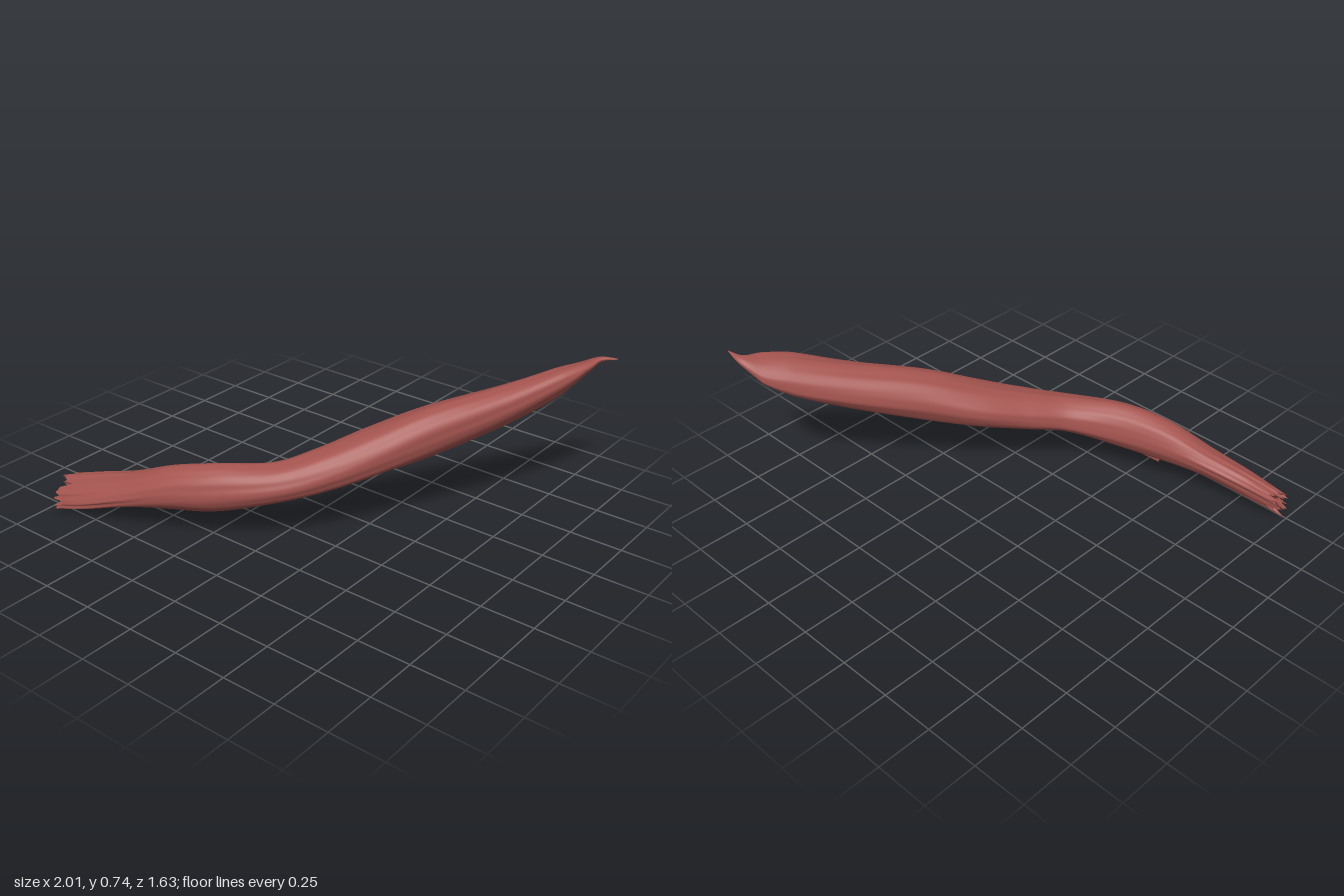
import * as THREE from 'three';

// Stations along the root: x, y, z of the centre, half width, half height, sideways tilt
const STATIONS = [
  [-0.95, 0.085, 0.740, 0.072, 0.058, -0.50],
  [-0.80, 0.125, 0.710, 0.082, 0.065, -0.38],
  [-0.60, 0.180, 0.660, 0.086, 0.070, -0.20],
  [-0.40, 0.233, 0.597, 0.092, 0.098, -0.05],
  [-0.20, 0.265, 0.515, 0.095, 0.108, 0],
  [0.015, 0.302, 0.368, 0.100, 0.086, 0],
  [0.145, 0.343, 0.210, 0.113, 0.092, 0],
  [0.275, 0.400, 0.030, 0.122, 0.104, 0.02],
  [0.43, 0.468, -0.165, 0.112, 0.116, 0.08],
  [0.65, 0.560, -0.450, 0.100, 0.095, 0.22],
  [0.79, 0.635, -0.635, 0.088, 0.074, 0.40],
  [0.86, 0.684, -0.735, 0.066, 0.040, 0.45],
  [0.92, 0.728, -0.797, 0.023, 0.014, 0.25],
  [0.995, 0.746, -0.810, 0.002, 0.002, 0],
];
const SIDES = 72;
const ROWS = 150;
const UP = new THREE.Vector3(0, 1, 0);

const path = new THREE.CatmullRomCurve3(STATIONS.map(s => new THREE.Vector3(s[0], s[1], s[2])));
const sections = new THREE.CatmullRomCurve3(STATIONS.map(s => new THREE.Vector3(s[3], s[4], s[5])), false, 'catmullrom', 0.5);

// Lengthwise grooves: shallow on the body, deep and fibrous towards the broken end
function groove(t, a) {
  const frayed = Math.max(0, 1 - t / 0.2);
  const broad = 0.022 * Math.sin(3 * a + 9 * t) + 0.014 * Math.sin(7 * a - 14 * t + 1);
  const fine = Math.sin(11 * a + 5 * t) + 0.7 * Math.sin(17 * a - 8 * t + 2);
  return 1 + broad + (0.006 + 0.045 * frayed) * fine;
}

// Uneven length of the fibres at the broken end
function jag(a) {
  return 0.022 * Math.sin(5 * a + 1) + 0.018 * Math.sin(11 * a) + 0.012 * Math.sin(19 * a + 2);
}

function surfacePoint(t, a, scale = 1, recess = 0) {
  const tangent = path.getTangent(t);
  const side = new THREE.Vector3().crossVectors(tangent, UP).normalize();
  const section = sections.getPoint(t);
  const r = groove(t, a) * scale;
  const across = Math.cos(a) * section.x * r;
  const rise = Math.sin(a) * section.y * r + across * section.z;
  const pull = Math.pow(Math.max(0, 1 - t / 0.07), 2) * jag(a) * scale + recess;
  return path.getPoint(t)
    .addScaledVector(side, across)
    .addScaledVector(UP, rise)
    .addScaledVector(tangent, pull);
}

// Joins closed rings of points into a smooth skin
function skin(rows, pointAt) {
  const pos = [], index = [];
  for (let i = 0; i <= rows; i++) {
    for (let j = 0; j < SIDES; j++) {
      pos.push(...pointAt(i, (j / SIDES) * Math.PI * 2).toArray());
      if (i === rows) continue;
      const k = (j + 1) % SIDES;
      const a = i * SIDES + j, b = i * SIDES + k;
      index.push(a, a + SIDES, b, b, a + SIDES, b + SIDES);
    }
  }
  const geo = new THREE.BufferGeometry();
  geo.setAttribute('position', new THREE.Float32BufferAttribute(pos, 3));
  geo.setIndex(index);
  geo.computeVertexNormals();
  return geo;
}

export function createModel() {
  const group = new THREE.Group();
  group.name = 'root';
  const bark = new THREE.MeshStandardMaterial({ color: 0xa4544f });
  bark.name = 'reddish brown bark';
  bark.side = THREE.DoubleSide;

  function add(name, geo) {
    const mesh = new THREE.Mesh(geo, bark);
    mesh.name = name;
    group.add(mesh);
    return mesh;
  }

  // Long bent body, tapering to a hooked tip
  add('body', skin(ROWS, (i, a) => surfacePoint(i / ROWS, a)));

  // Hollowed face of the broken end
  const capScale = [0, 0.35, 0.7, 1];
  const capRecess = [0.03, 0.02, 0.025, 0];
  add('brokenEnd', skin(3, (i, a) => surfacePoint(0, a, capScale[i], capRecess[i])));

  // Splinters sticking out of the broken end
  const axis = path.getTangent(0).negate();
  for (let n = 0; n < 12; n++) {
    const a = n * 2.4;
    const length = 0.07 + 0.025 * Math.sin(n * 3.7);
    const geo = new THREE.ConeGeometry(0.014, length, 5).toNonIndexed();
    geo.computeVertexNormals();
    const splinter = add('splinter', geo);
    splinter.position.copy(surfacePoint(0.006, a, n % 3 ? 0.85 : 0.5));
    const lean = axis.clone().multiplyScalar(0.9);
    lean.y += 0.25 * Math.sin(a);
    splinter.quaternion.setFromUnitVectors(UP, lean.normalize());
  }

  // Small peeled flap of bark under the bend
  const flap = add('peeledFlap', new THREE.CylinderGeometry(0.03, 0.022, 0.09, 14, 1, true, 0, Math.PI * 1.2));
  flap.position.set(-0.36, 0.16, 0.55);
  flap.rotation.set(0, 0.4, Math.PI / 2 + 0.2);
  return group;
}
